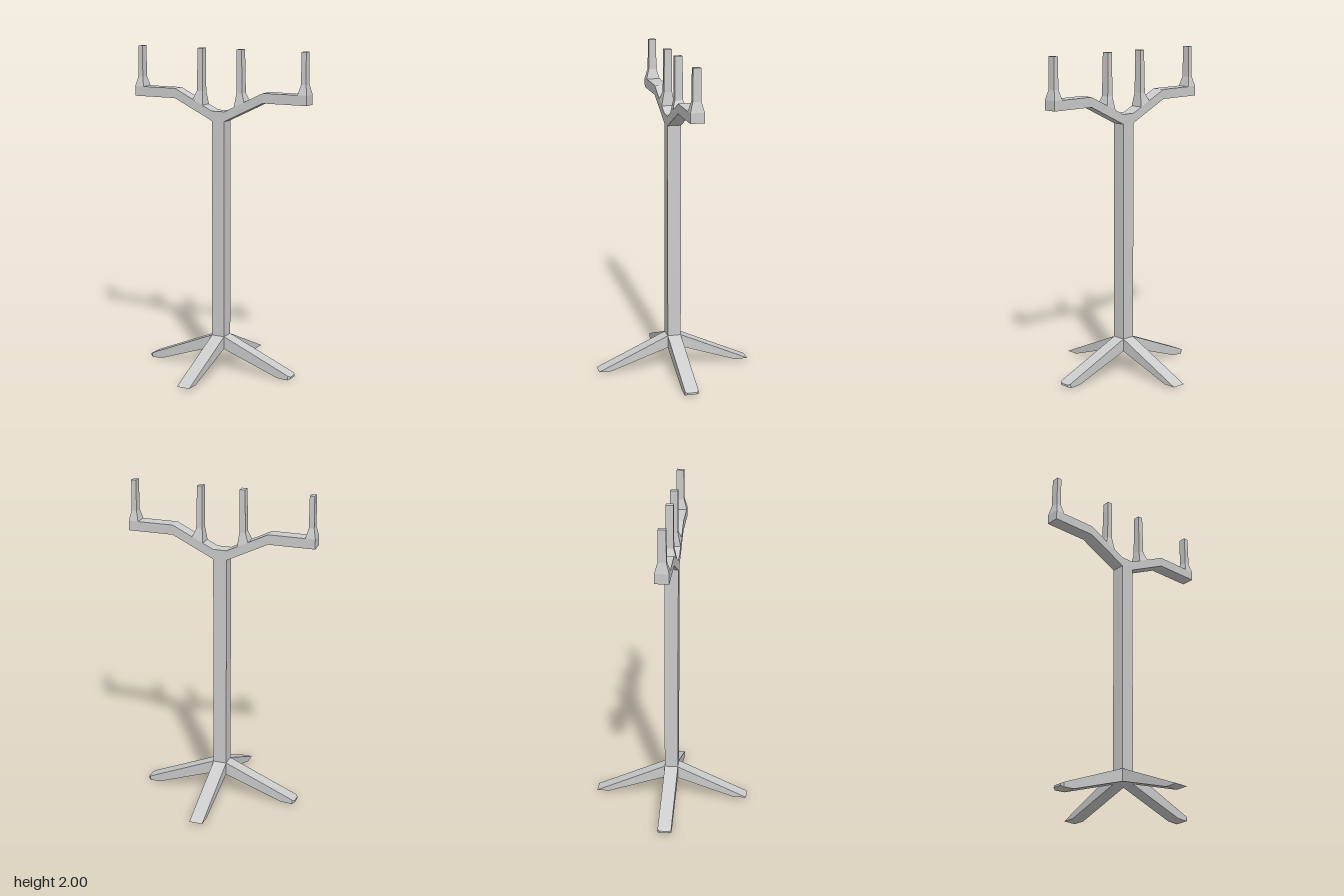
import * as THREE from 'three';

const HALF = 0.042; // half thickness of post, arms and legs

const material = new THREE.MeshStandardMaterial({ color: 0xcccccc, flatShading: true });

// Skin a row of four-cornered rings (counter-clockwise seen from the far end) and cap both ends
function loft(rings) {
  const pos = [];
  const quad = (a, b, c, d) => pos.push(...a, ...b, ...c, ...a, ...c, ...d);
  for (let k = 0; k < rings.length - 1; k++) {
    const [p, q] = [rings[k], rings[k + 1]];
    for (let i = 0; i < 4; i++) {
      const j = (i + 1) % 4;
      quad(p[i], p[j], q[j], q[i]);
    }
  }
  const first = rings[0], last = rings[rings.length - 1];
  quad(first[3], first[2], first[1], first[0]);
  quad(...last);
  const geometry = new THREE.BufferGeometry();
  geometry.setAttribute('position', new THREE.Float32BufferAttribute(pos, 3));
  geometry.computeVertexNormals();
  return geometry;
}

// Ring across a leg running along +x
const legRing = (x0, y0, x1, y1, h = HALF) =>
  [[x0, y0, h], [x0, y0, -h], [x1, y1, -h], [x1, y1, h]];

// Ring across an upright prong; yIn and yOut let the base follow a slope
const prongRing = (xIn, xOut, yIn, yOut, h) =>
  [[xIn, yIn, h], [xOut, yOut, h], [xOut, yOut, -h], [xIn, yIn, -h]];

export function createModel() {
  const model = new THREE.Group();
  model.name = 'coatStand';
  const add = (name, geometry, turn = 0) => {
    const mesh = new THREE.Mesh(geometry, material);
    mesh.name = name;
    mesh.rotation.y = turn;
    model.add(mesh);
    return mesh;
  };

  // Square post
  add('post', new THREE.BoxGeometry(2 * HALF, 1.435, 2 * HALF)).position.y = 0.135 + 1.435 / 2;

  // Bent arms, one symmetric outline
  const right = [[HALF, 1.565], [0.3, 1.69], [0.585, 1.69], [0.585, 1.75], [0.3, 1.75], [HALF, 1.625]];
  const left = right.map(([x, y]) => [-x, y]).reverse();
  const outline = new THREE.Shape([...right, ...left].map(([x, y]) => new THREE.Vector2(x, y)));
  const arms = new THREE.ExtrudeGeometry(outline, { depth: 2 * HALF, bevelEnabled: false });
  arms.translate(0, 0, -HALF);
  add('arms', arms);

  // Prongs: flared base narrowing into a thin upright
  const outerProng = loft([
    prongRing(0.525, 0.585, 1.75, 1.75, HALF),
    prongRing(0.54, 0.572, 1.81, 1.81, 0.025),
    prongRing(0.54, 0.57, 2, 2, 0.023),
  ]);
  const innerProng = loft([
    prongRing(0.108, 0.175, 1.657, 1.689, HALF),
    prongRing(0.117, 0.155, 1.74, 1.74, 0.025),
    prongRing(0.117, 0.149, 2, 2, 0.023),
  ]);

  // Side legs have tapered tips; front and back legs end flat on the floor
  const sideLeg = loft([
    legRing(0.03, 0.138, 0.03, 0.219),
    legRing(0.41, 0.004, 0.46, 0.038),
    legRing(0.48, 0, 0.485, 0.027),
    legRing(0.497, 0.008, 0.497, 0.02, 0.03),
  ]);
  const frontLeg = loft([
    legRing(0.03, 0.138, 0.03, 0.219),
    legRing(0.405, 0.01, 0.484, 0.011),
  ]);

  for (const [side, turn] of [['left', 0], ['right', Math.PI]]) {
    add(`${side}OuterProng`, outerProng, turn);
    add(`${side}InnerProng`, innerProng, turn);
    add(`${side}Leg`, sideLeg, turn);
  }
  add('frontLeg', frontLeg, -Math.PI / 2);
  add('backLeg', frontLeg, Math.PI / 2);
  return model;
}
